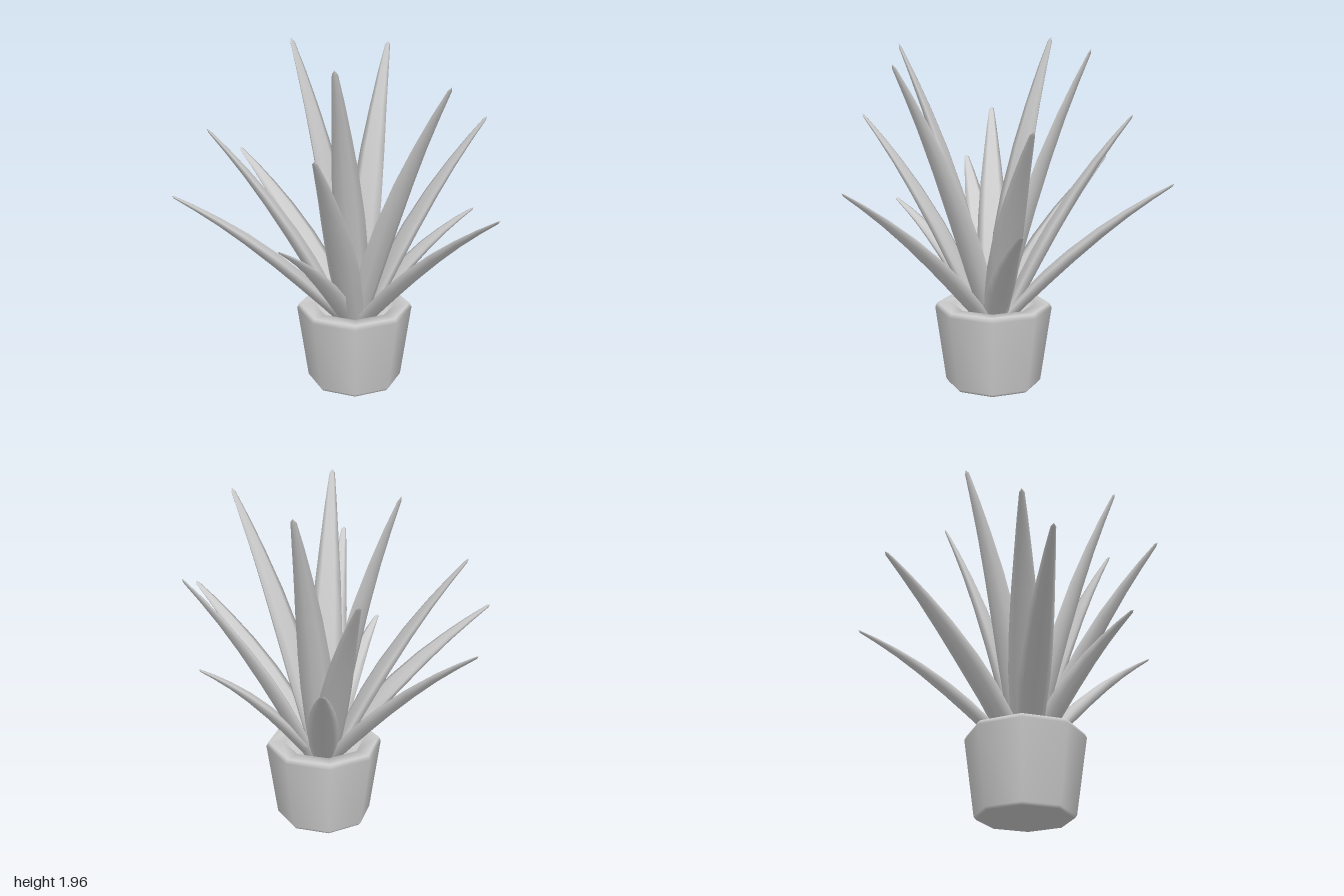
import * as THREE from 'three';

const CENTER = new THREE.Vector3(-0.015, 0, -0.03);
const UP = new THREE.Vector3(0, 1, 0);

// Leaf cross-section (across, upward) in half-widths: nearly flat top, keeled underside
const SECTION = [[1, 0.1], [0.55, 0.2], [0, 0.18], [-0.55, 0.2], [-1, 0.1], [-0.65, -0.38], [0, -0.64], [0.65, -0.38]];
// Half-width along the leaf: [position, half-width]
const WIDTHS = [[0, 0.066], [0.12, 0.08], [0.28, 0.087], [0.42, 0.082], [0.6, 0.066],
  [0.75, 0.047], [0.88, 0.03], [0.985, 0.014], [1, 0]];

// Leaf tips (x, y, z), from the tall inner leaves to the low outer ones
const TIPS = [
  [-0.5, 1.96, -0.01], [0.28, 1.93, 0.42], [-0.24, 1.91, -0.54], [0.67, 1.84, -0.01],
  [-0.63, 1.54, -0.52], [-0.57, 1.52, 0.56], [0.37, 1.53, 0.65], [0.37, 1.53, -0.71],
  [-1, 1.23, -0.02], [1, 1.22, -0.01], [-0.64, 1.18, -0.81], [-0.58, 1.19, 0.81],
  [0.12, 1.01, 0.67], [0.36, 1, -0.63],
];

// Sweeps the cross-section along a curve that leans outward towards its tip
function leafGeometry(tip) {
  const tall = tip[1] > 1.7;
  const end = new THREE.Vector3(...tip);
  const out = end.clone().sub(CENTER).setY(0).normalize();
  const start = CENTER.clone().addScaledVector(out, tall ? 0.03 : 0.075).setY(0.4);
  const side = new THREE.Vector3().crossVectors(UP, out);
  const bend = new THREE.Vector3().crossVectors(end.clone().sub(start).normalize(), side);
  const middle = start.clone().lerp(end, 0.5).addScaledVector(bend, 0.11);
  const curve = new THREE.QuadraticBezierCurve3(start, middle, end);
  const size = 0.6 + 0.32 * start.distanceTo(end);

  const positions = [];
  const indices = [];
  const n = SECTION.length;
  WIDTHS.forEach(([t, width], i) => {
    const p = curve.getPoint(t);
    const normal = new THREE.Vector3().crossVectors(curve.getTangent(t), side);
    SECTION.forEach(([s, h], j) => {
      const q = p.clone().addScaledVector(side, s * width * size).addScaledVector(normal, h * width * size);
      positions.push(q.x, q.y, q.z);
      if (i === WIDTHS.length - 1) return;
      const a = i * n + j;
      const b = i * n + (j + 1) % n;
      indices.push(a, b, a + n);
      if (i < WIDTHS.length - 2) indices.push(b, b + n, a + n);
    });
  });
  const geometry = new THREE.BufferGeometry();
  geometry.setAttribute('position', new THREE.Float32BufferAttribute(positions, 3));
  geometry.setIndex(indices);
  geometry.computeVertexNormals();
  return geometry;
}

export function createModel() {
  const group = new THREE.Group();
  group.name = 'pottedPlant';
  const grey = new THREE.MeshStandardMaterial({ color: 0xcccccc });
  grey.name = 'light grey';

  // Eight-sided, softly shaded pot with a bevelled rim and recessed soil
  const profile = [[0, 0], [0.26, 0], [0.272, 0.015], [0.333, 0.445], [0.32, 0.47],
    [0.235, 0.468], [0.215, 0.39], [0, 0.39]].map(([r, y]) => new THREE.Vector2(r, y));
  const pot = new THREE.Mesh(new THREE.LatheGeometry(profile, 8), grey);
  pot.name = 'pot';
  pot.position.set(-0.02, 0, -0.03);
  group.add(pot);

  // Rosette of pointed leaves
  const leaves = new THREE.Group();
  leaves.name = 'leaves';
  TIPS.forEach((tip, i) => {
    const leaf = new THREE.Mesh(leafGeometry(tip), grey);
    leaf.name = `leaf${i + 1}`;
    leaves.add(leaf);
  });
  group.add(leaves);
  return group;
}
